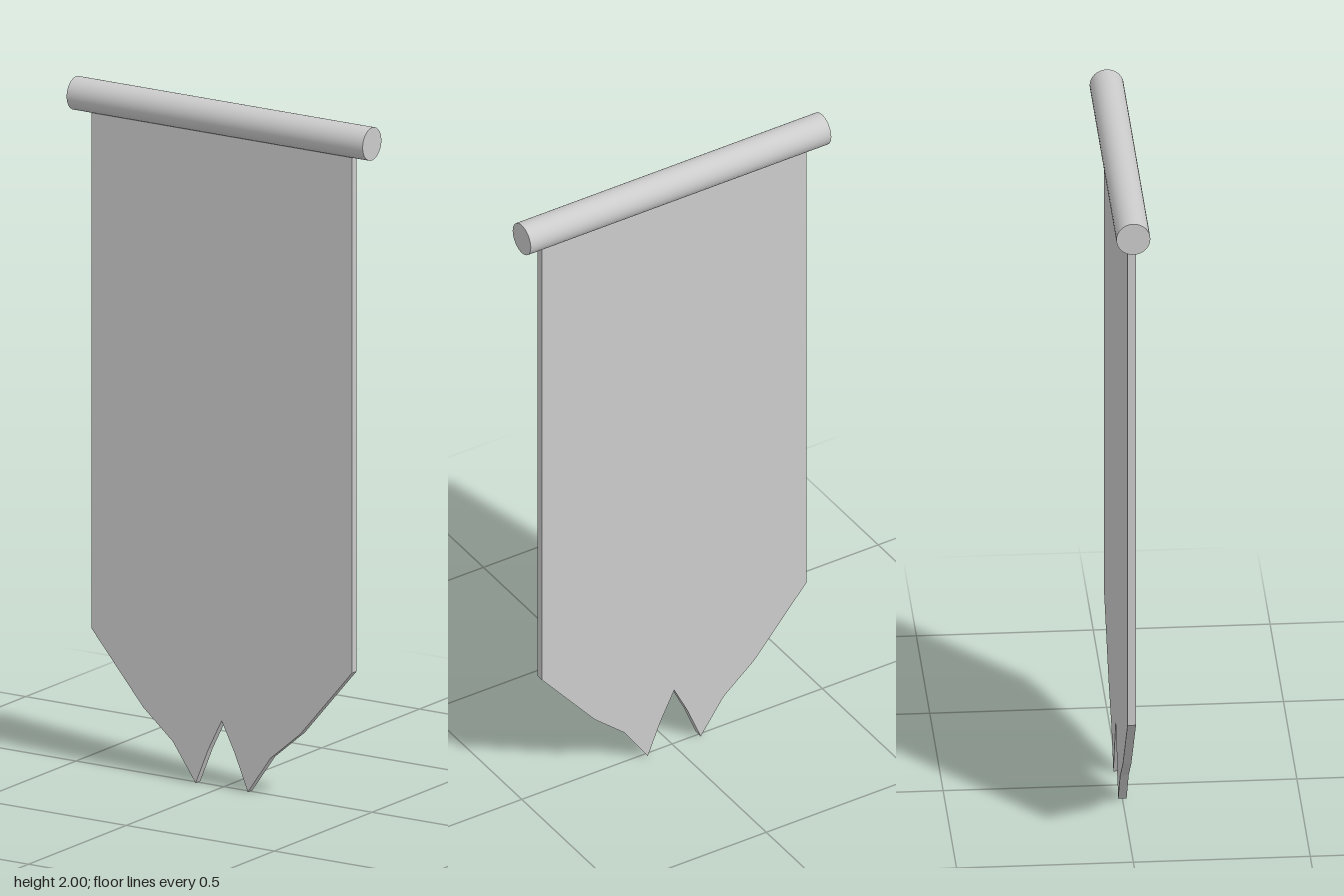
import * as THREE from 'three';

export function createModel() {
  const group = new THREE.Group();
  const material = new THREE.MeshStandardMaterial({ color: 0xcccccc });

  // Horizontal rod with smooth sides and flat caps
  const radius = 0.048;
  const rod = new THREE.Mesh(new THREE.CylinderGeometry(radius, radius, 1, 32), material);
  rod.name = 'rod';
  rod.rotation.z = Math.PI / 2;
  rod.position.y = 2 - radius;
  group.add(rod);

  // Right half of the cloth outline, from the top down to the middle notch
  const half = [
    [0.44, 1.95], [0.44, 0.4], [0.265, 0.195], [0.165, 0.11],
    [0.088, 0], [0.045, 0.105],
  ];
  const mirrored = half.map(([x, y]) => [-x, y]).reverse();
  const outline = [...half, [0, 0.195], ...mirrored].map(([x, y]) => new THREE.Vector2(x, y));

  // Thin hanging cloth with a forked, ragged tail
  const depth = 0.024;
  const geometry = new THREE.ExtrudeGeometry(new THREE.Shape(outline), { depth, bevelEnabled: false });
  geometry.translate(0, 0, -depth / 2);
  const cloth = new THREE.Mesh(geometry, material);
  cloth.name = 'cloth';
  group.add(cloth);

  return group;
}
